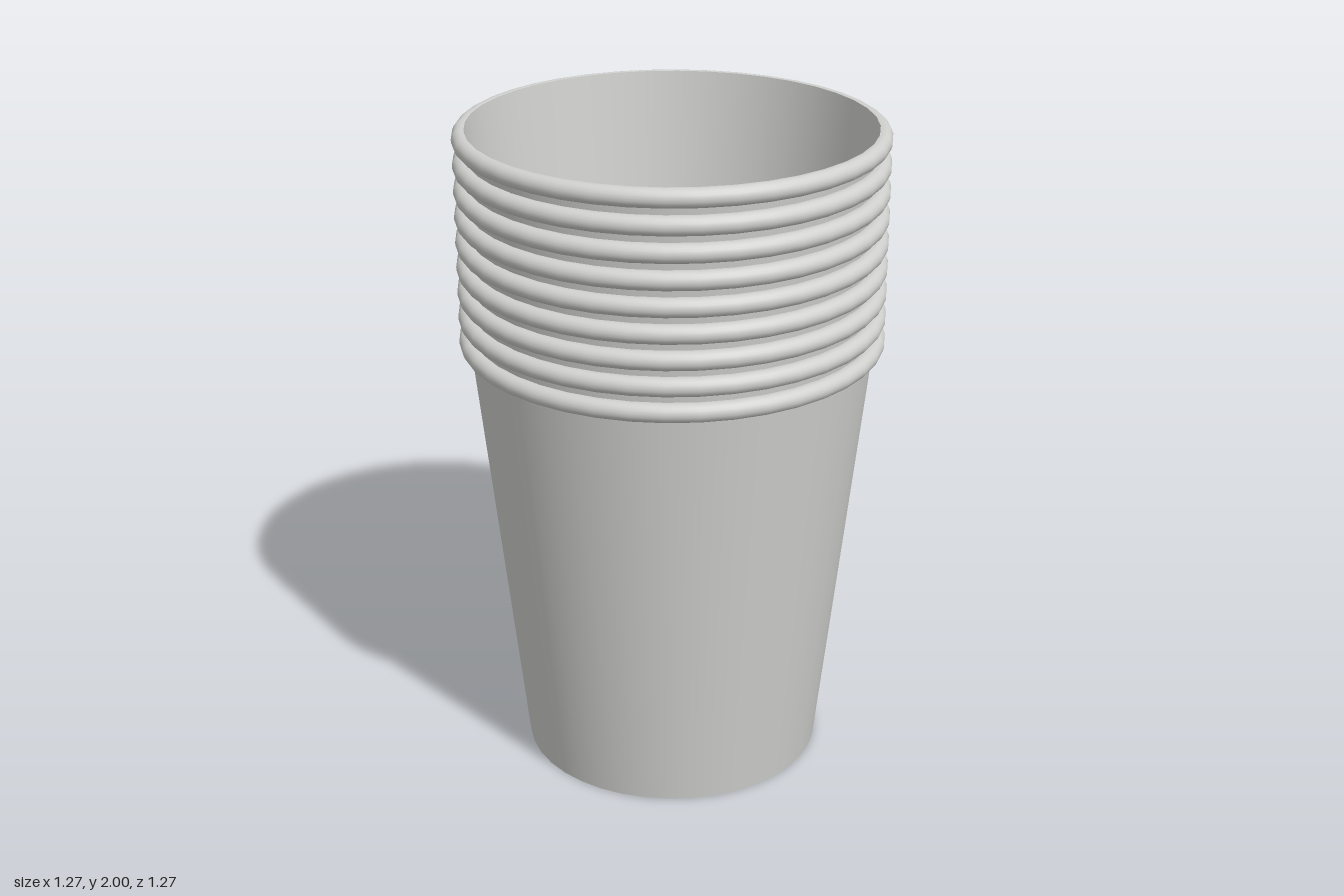
import * as THREE from 'three';

const CUPS = 9;
const SPACING = 0.0771;
const SEGMENTS = 40;

// Each section is turned separately so that the edges between them stay sharp.
function turn(points) {
  return new THREE.LatheGeometry(points.map(([r, y]) => new THREE.Vector2(r, y)), SEGMENTS);
}

// Rolled lip, from under the outer wall around to the inner edge.
function rimProfile() {
  const points = [[0.602, 1.327]];
  for (let i = 0; i <= 10; i++) {
    const a = -Math.PI / 2 + (i / 10) * Math.PI * 1.1;
    points.push([0.609 + 0.028 * Math.cos(a), 1.355 + 0.028 * Math.sin(a)]);
  }
  return points;
}

export function createModel() {
  const model = new THREE.Group();
  model.name = 'stackedCups';
  const paper = new THREE.MeshStandardMaterial({ color: 0xd0d0ce });
  paper.name = 'light grey paper';

  const parts = {
    outerWall: turn([[0.459, 0], [0.603, 1.33]]),
    rim: turn(rimProfile()),
    innerWall: turn([[0.6, 1.382], [0.453, 0.032]]),
    floorTop: turn([[0.453, 0.032], [0, 0.032]]),
    floorUnderside: turn([[0, 0.026], [0.453, 0.026]]),
    footInside: turn([[0.453, 0.026], [0.452, 0]]),
    footEdge: turn([[0.452, 0], [0.459, 0]]),
  };

  // Nested cups, each raised by one lip spacing.
  for (let i = 0; i < CUPS; i++) {
    const cup = new THREE.Group();
    cup.name = `cup${i + 1}`;
    cup.position.y = i * SPACING;
    for (const [name, geometry] of Object.entries(parts)) {
      const mesh = new THREE.Mesh(geometry, paper);
      mesh.name = name;
      cup.add(mesh);
    }
    model.add(cup);
  }
  return model;
}
